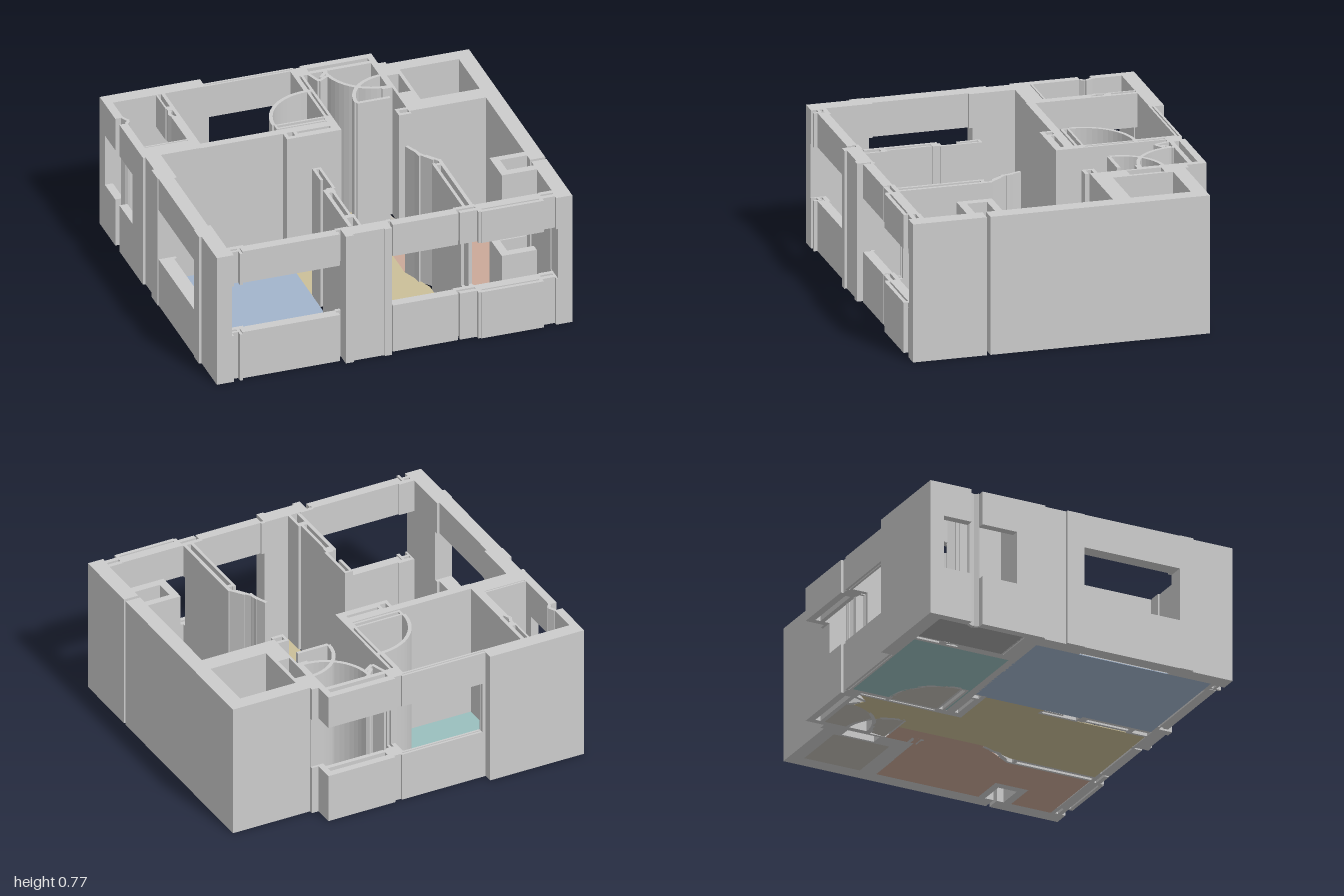
import * as THREE from 'three';

const HEIGHT = 0.77, SILL = 0.28, HEAD = 0.58;
const wallMat = new THREE.MeshStandardMaterial({ color: 0xcccccc, flatShading: true });

// Window openings [x0, x1, z0, z1], cut between sill and head height
const openings = [
  [-0.90, -0.27, 0.79, 0.95], [-0.01, 0.92, 0.79, 0.95], // front
  [-0.42, 0.56, -0.95, -0.745],                          // back
  [-1.05, -0.90, -0.835, -0.40], [-1.05, -0.88, 0, 0.57], // left side
  [-0.73, -0.66, -0.84, -0.60],                          // utility partition
  [0.70, 0.915, 0.36, 0.58],                             // shaft
];

// Walls in plan [x0, x1, z0, z1], grouped by part
const walls = {
  backWall: [
    [-1, -0.44, -0.915, -0.835], [-0.44, 0.06, -0.865, -0.852], [-0.44, 0.06, -0.845, -0.833],
    [0.05, 0.12, -0.855, -0.77], [0.10, 0.5, -0.87, -0.83], [0.12, 0.465, -0.80, -0.775],
    [0.465, 0.5, -0.87, -0.66], [0.10, 0.125, -0.87, -0.77], [0.48, 0.54, -0.76, -0.66],
    [0.54, 1, -0.74, -0.66],
  ],
  rightWall: [[0.915, 1, -0.74, 0.465], [0.915, 1, 0.485, 0.89]],
  leftWall: [
    [-1, -0.955, -0.915, -0.67], [-1, -0.955, -0.605, -0.24], [-0.985, -0.90, -0.25, 0],
    [-1, -0.90, -0.10, 0], [-1, -0.90, 0.57, 0.65], [-0.985, -0.90, 0.64, 0.81],
  ],
  leftWindowFrame: [
    [-0.995, -0.915, -0.01, 0.57], [-0.915, -0.90, -0.01, 0.02], [-0.915, -0.90, 0.55, 0.57],
  ],
  frontWall: [
    [-0.985, -0.89, 0.805, 0.89], [-0.89, -0.81, 0.805, 0.83], [-0.855, -0.84, 0.83, 0.89],
    [-0.89, -0.84, 0.845, 0.86], [-0.835, -0.30, 0.815, 0.87], [-0.30, -0.27, 0.805, 0.825],
    [-0.31, -0.29, 0.84, 0.87], [-0.27, -0.225, 0.805, 0.905], [-0.225, -0.01, 0.81, 0.89],
    [-0.05, -0.01, 0.81, 0.90], [0.005, 0.37, 0.815, 0.87], [-0.01, 0.01, 0.805, 0.825],
    [0.36, 0.48, 0.805, 0.83], [0.38, 0.475, 0.845, 0.87], [0.475, 0.50, 0.81, 0.89],
    [0.49, 0.83, 0.81, 0.865], [0.49, 0.84, 0.875, 0.895], [0.82, 0.84, 0.81, 0.895],
    [0.84, 0.92, 0.805, 0.83], [0.84, 0.92, 0.845, 0.87], [0.91, 1, 0.805, 0.89],
  ],
  utilityWalls: [
    [-1, -0.665, -0.33, -0.232], [-0.96, -0.715, -0.345, -0.335], [-0.685, -0.665, -0.835, -0.26],
    [-0.715, -0.685, -0.59, -0.32], [-0.715, -0.705, -0.835, -0.68], [-0.71, -0.68, -0.70, -0.66],
  ],
  middleWall: [
    [-0.68, -0.20, -0.275, -0.228], [-0.22, 0.085, -0.275, -0.23], [-0.22, -0.20, -0.275, -0.165],
    [-0.165, -0.145, -0.25, -0.165], [-0.20, 0.085, -0.19, -0.165], [-0.145, 0.04, -0.205, -0.185],
    [0.04, 0.085, -0.33, -0.165], [-0.145, 0.04, -0.235, -0.225],
  ],
  doorPartition: [[0.035, 0.06, -0.835, -0.6], [0.07, 0.085, -0.835, -0.3], [0.035, 0.085, -0.62, -0.60],
    [0.045, 0.06, -0.61, -0.31]],
  doorLeaf: [[-0.235, 0.04, -0.33, -0.318], [-0.235, 0.04, -0.297, -0.283], [-0.235, -0.222, -0.33, -0.283]],
  bathWalls: [
    [0.255, 0.44, -0.415, -0.395], [0.465, 0.485, -0.775, -0.50], [0.43, 0.485, -0.515, -0.495],
    [0.485, 0.50, -0.66, -0.40], [0.565, 0.585, -0.66, -0.33], [0.485, 0.585, -0.66, -0.62],
    [0.485, 0.585, -0.43, -0.235], [0.42, 0.49, -0.275, -0.255], [0.42, 0.49, -0.225, -0.205],
    [0.42, 0.435, -0.275, -0.205], [0.485, 0.92, -0.33, -0.232],
  ],
  centrePartition: [
    [-0.198, -0.182, 0.17, 0.30], [-0.165, -0.15, 0.17, 0.40], [-0.195, -0.15, 0.17, 0.185],
    [-0.22, -0.20, 0.40, 0.805], [-0.20, -0.16, 0.39, 0.44], [-0.18, -0.165, 0.40, 0.70],
    [-0.215, -0.15, 0.69, 0.72], [-0.165, -0.15, 0.69, 0.815],
  ],
  rightPartition: [[0.415, 0.432, 0.33, 0.81], [0.455, 0.475, 0.30, 0.81], [0.415, 0.475, 0.335, 0.355]],
  shaft: [[0.72, 0.92, 0.375, 0.415], [0.72, 0.92, 0.525, 0.57], [0.72, 0.765, 0.375, 0.57]],
};

// Parts of a rectangle left over once another is cut out of it
function cut([x0, x1, z0, z1], [a0, a1, b0, b1]) {
  if (a0 >= x1 || a1 <= x0 || b0 >= z1 || b1 <= z0) return [[x0, x1, z0, z1]];
  const l = Math.max(x0, a0), r = Math.min(x1, a1);
  return [[x0, l, z0, z1], [r, x1, z0, z1], [l, r, z0, b0], [l, r, b1, z1]]
    .filter(([p, q, s, t]) => q - p > 1e-4 && t - s > 1e-4);
}

function addBox(group, [x0, x1, z0, z1], y0, y1) {
  const mesh = new THREE.Mesh(new THREE.BoxGeometry(x1 - x0, y1 - y0, z1 - z0), wallMat);
  mesh.position.set((x0 + x1) / 2, (y0 + y1) / 2, (z0 + z1) / 2);
  mesh.name = 'wallBlock';
  group.add(mesh);
}

// Upright prism over a plan polygon of [x, z] points
function prism(name, points, height, material) {
  const shape = new THREE.Shape(points.map(([x, z]) => new THREE.Vector2(x, -z)));
  const geo = new THREE.ExtrudeGeometry(shape, { depth: height, bevelEnabled: false });
  const mesh = new THREE.Mesh(geo.rotateX(-Math.PI / 2), material);
  mesh.name = name;
  return mesh;
}

function arc([cx, cz, r], a0, a1, n = 14) {
  return Array.from({ length: n + 1 }, (_, i) => {
    const a = a0 + (a1 - a0) * i / n;
    return [cx + r * Math.cos(a), cz + r * Math.sin(a)];
  });
}

const curvedWall = (name, [cx, cz, r], a0, a1) => prism(name,
  [...arc([cx, cz, r + 0.01], a0, a1), ...arc([cx, cz, r - 0.01], a1, a0)], HEIGHT, wallMat);

// Thin straight wall between two plan points
function slantedWall(name, [ax, az], [bx, bz], t = 0.018) {
  const len = Math.hypot(bx - ax, bz - az);
  const nx = -(bz - az) / len * t / 2, nz = (bx - ax) / len * t / 2;
  return prism(name, [[ax + nx, az + nz], [bx + nx, bz + nz], [bx - nx, bz - nz], [ax - nx, az - nz]],
    HEIGHT, wallMat);
}

export function createModel() {
  const model = new THREE.Group();
  model.name = 'apartment';

  // Straight walls with window openings
  for (const [name, rects] of Object.entries(walls)) {
    const group = new THREE.Group();
    group.name = name;
    for (const rect of rects) {
      const rest = openings.reduce((list, o) => list.flatMap(r => cut(r, o)), [rect]);
      if (rest.length === 1 && rest[0].every((v, i) => v === rect[i])) {
        addBox(group, rect, 0, HEIGHT);
      } else {
        addBox(group, rect, 0, SILL);
        addBox(group, rect, HEAD, HEIGHT);
        rest.forEach(r => addBox(group, r, SILL, HEAD));
      }
    }
    model.add(group);
  }

  // Curved walls along the door swings
  const P = Math.PI;
  const door = [0.045, -0.33, 0.28], bathA = [0.465, -0.775, 0.26], bathB = [0.485, -0.41, 0.23];
  model.add(curvedWall('curvedDoorWall', door, -P / 2, -P));
  model.add(curvedWall('curvedBathWallA', bathA, P / 2, P));
  model.add(curvedWall('curvedBathWallB', bathB, -P / 2, -P));

  // Slanted wall stubs
  [
    [[0.115, -0.78], [0.145, -0.69]], [[0.145, -0.69], [0.215, -0.735]], [[0.165, -0.72], [0.215, -0.775]],
    [[0.35, 0.11], [0.385, 0.20]], [[0.375, 0.16], [0.385, 0.23]], [[0.41, 0.235], [0.465, 0.31]],
    [[0.385, 0.21], [0.44, 0.29]], [[-0.96, -0.67], [-0.94, -0.63]], [[-0.94, -0.63], [-0.96, -0.605]],
    [[-0.70, -0.66], [-0.715, -0.62]], [[-0.715, -0.62], [-0.70, -0.585]],
  ].forEach(([a, b]) => model.add(slantedWall('slantedStub', a, b)));

  // Coloured room floors
  const floors = [
    ['bedroomFloor', 0xa2b4cc, [[-0.90, -0.235], [-0.20, -0.235], [-0.20, 0.40], [-0.22, 0.40],
      [-0.22, 0.805], [-0.90, 0.805]]],
    ['kitchenFloor', 0x9abfbe, [[-0.665, -0.835], [0.035, -0.835], ...arc(door, -P / 2, -P),
      [-0.235, -0.283], [0.035, -0.283], [0.035, -0.275], [-0.665, -0.275]]],
    ['doorSwingFloor', 0xc0bcb4, [[0.045, -0.33], ...arc(door, -P / 2, -P)]],
    ['hallFloor', 0xcbbf98, [[-0.20, -0.165], [0.085, -0.165], [0.085, -0.76], [0.14, -0.70], [0.205, -0.74],
      ...arc(bathA, P - 0.14, 2.19, 6), ...arc(bathB, -2.43, -P, 6), [0.255, -0.40], [0.34, -0.40],
      [0.34, 0.10], [0.415, 0.30], [0.415, 0.805], [-0.155, 0.805], [-0.155, 0.18], [-0.20, 0.18]]],
    ['livingFloor', 0xcba998, [[0.34, -0.40], [0.485, -0.40], [0.485, -0.235], [0.915, -0.235], [0.915, 0.375],
      [0.72, 0.375], [0.72, 0.57], [0.915, 0.57], [0.915, 0.805], [0.47, 0.805], [0.47, 0.31], [0.34, 0.10]]],
    ['utilityFloor', 0xa6a6a6, [[-0.955, -0.835], [-0.715, -0.835], [-0.715, -0.34], [-0.955, -0.34]]],
    ['storeFloor', 0xc0bcb4, [[0.58, -0.66], [0.915, -0.66], [0.915, -0.33], [0.58, -0.33]]],
    ['bathFloorA', 0xc0bcb4, [[0.465, -0.775], ...arc(bathA, P, 2.19, 6), ...arc(bathB, -2.43, -P / 2, 6)]],
    ['bathFloorB', 0xc0bcb4, [[0.485, -0.41], ...arc(bathB, -P, -2.43, 6), ...arc(bathA, 2.19, P / 2, 6)]],
  ];
  for (const [name, color, points] of floors) {
    model.add(prism(name, points, 0.004, new THREE.MeshStandardMaterial({ color })));
  }
  return model;
}
